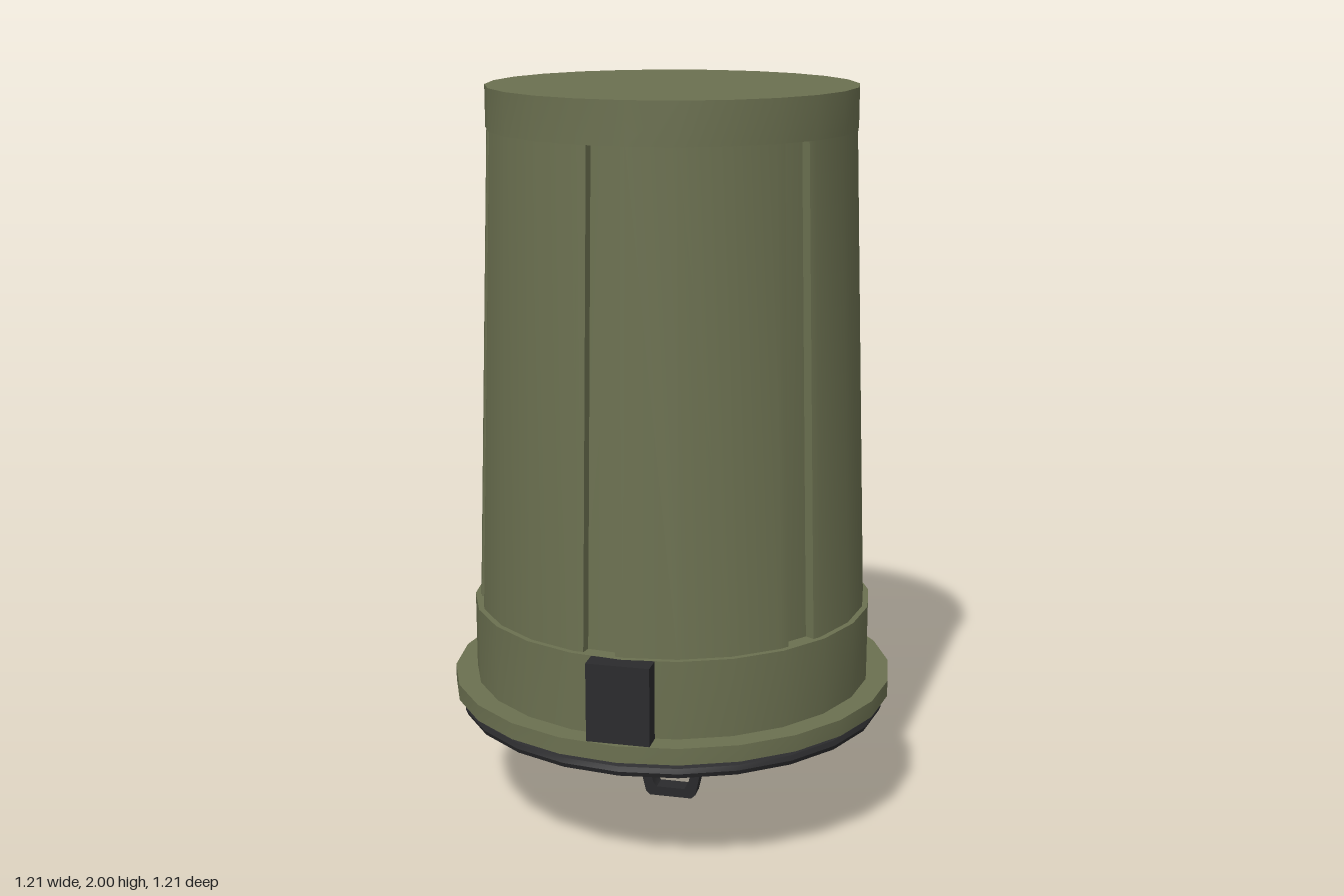
import * as THREE from 'three';
import { toCreasedNormals } from 'three/addons/utils/BufferGeometryUtils.js';

const SIDES = 24;
const DEG = Math.PI / 180;

export function createModel() {
  const model = new THREE.Group();
  model.name = 'canister';
  const olive = new THREE.MeshStandardMaterial({ color: 0x6b7050 });
  olive.name = 'olive';
  const black = new THREE.MeshStandardMaterial({ color: 0x2b2b2d });
  black.name = 'black';

  function add(name, geometry, material) {
    const mesh = new THREE.Mesh(toCreasedNormals(geometry, 0.5), material);
    mesh.name = name;
    model.add(mesh);
    return mesh;
  }

  function drum(name, rTop, rBottom, y0, y1) {
    const g = new THREE.CylinderGeometry(rTop, rBottom, y1 - y0, SIDES);
    g.translate(0, (y0 + y1) / 2, 0);
    add(name, g, olive);
  }

  // Scale x and z of each vertex by a factor depending on height
  function taper(geometry, fx, fz) {
    const p = geometry.attributes.position;
    for (let i = 0; i < p.count; i++) {
      const y = p.getY(i);
      p.setX(i, p.getX(i) * fx(y));
      p.setZ(i, p.getZ(i) * fz(y));
    }
    return geometry;
  }

  // Stacked drums: core, cap, base band, flange
  drum('core', 0.46, 0.503, 0.6, 1.9);
  drum('topCap', 0.488, 0.488, 1.89, 2);
  drum('baseBand', 0.545, 0.545, 0.39, 0.61);
  drum('flange', 0.605, 0.605, 0.355, 0.4);

  // Six tapered wall panels separated by grooves, faceted with the core
  const polygonRadius = (a, r) => {
    const m = ((a % 15) + 15) % 15;
    return r * Math.cos(7.5 * DEG) / Math.cos((m - 7.5) * DEG);
  };
  for (let k = 0; k < 6; k++) {
    const start = -18 + k * 60, end = start + 50.5;
    const angles = [start];
    for (let a = Math.ceil(start / 15) * 15; a < end; a += 15) angles.push(a);
    angles.push(end);
    const at = (a, r) => {
      const q = polygonRadius(a, r);
      return new THREE.Vector2(q * Math.cos(a * DEG), -q * Math.sin(a * DEG));
    };
    const outline = angles.map(a => at(a, 0.53));
    outline.push(...angles.slice().reverse().map(a => at(a, 0.49)));
    const g = new THREE.ExtrudeGeometry(new THREE.Shape(outline), { depth: 1.29, bevelEnabled: false });
    g.rotateX(-Math.PI / 2).translate(0, 0.605, 0);
    const f = y => 1 - 0.085 * (y - 0.605) / 1.29;
    add('wallPanel' + (k + 1), taper(g, f, f), olive);
  }

  // Shallow domed underside
  const dome = [[0, 0.175], [0.13, 0.18], [0.26, 0.195], [0.37, 0.22], [0.488, 0.28], [0.488, 0.36]];
  add('bottomDome', new THREE.LatheGeometry(dome.map(p => new THREE.Vector2(...p)), SIDES), olive);

  // Rubber seal under the flange
  const seal = new THREE.TorusGeometry(0.57, 0.018, 8, SIDES);
  seal.rotateX(Math.PI / 2).translate(0, 0.323, 0);
  add('sealRing', seal, black);

  // Latch blocks at front and back
  for (const s of [1, -1]) {
    const g = new THREE.BoxGeometry(0.166, 0.21, 0.055);
    g.translate(0, 0.505, s * 0.5635);
    add(s > 0 ? 'frontLatch' : 'backLatch', g, black);
  }

  // Pull loop below the dome, thinner towards its tip
  const mirrored = half => [...half, ...half.slice().reverse().map(([x, y]) => [-x, y])]
    .map(p => new THREE.Vector2(...p));
  const loop = new THREE.Shape(mirrored([[0.06, 0], [0.072, 0.012], [0.095, 0.12], [0.122, 0.175], [0.122, 0.19]]));
  loop.holes.push(new THREE.Path(mirrored([[0.04, 0.028], [0.05, 0.04], [0.065, 0.105], [0.052, 0.125]])));
  const loopGeo = new THREE.ExtrudeGeometry(loop, { depth: 0.05, bevelEnabled: false });
  loopGeo.translate(0, 0, -0.025);
  add('pullLoop', taper(loopGeo, () => 1, y => 0.9 + 3 * y), black);

  return model;
}
